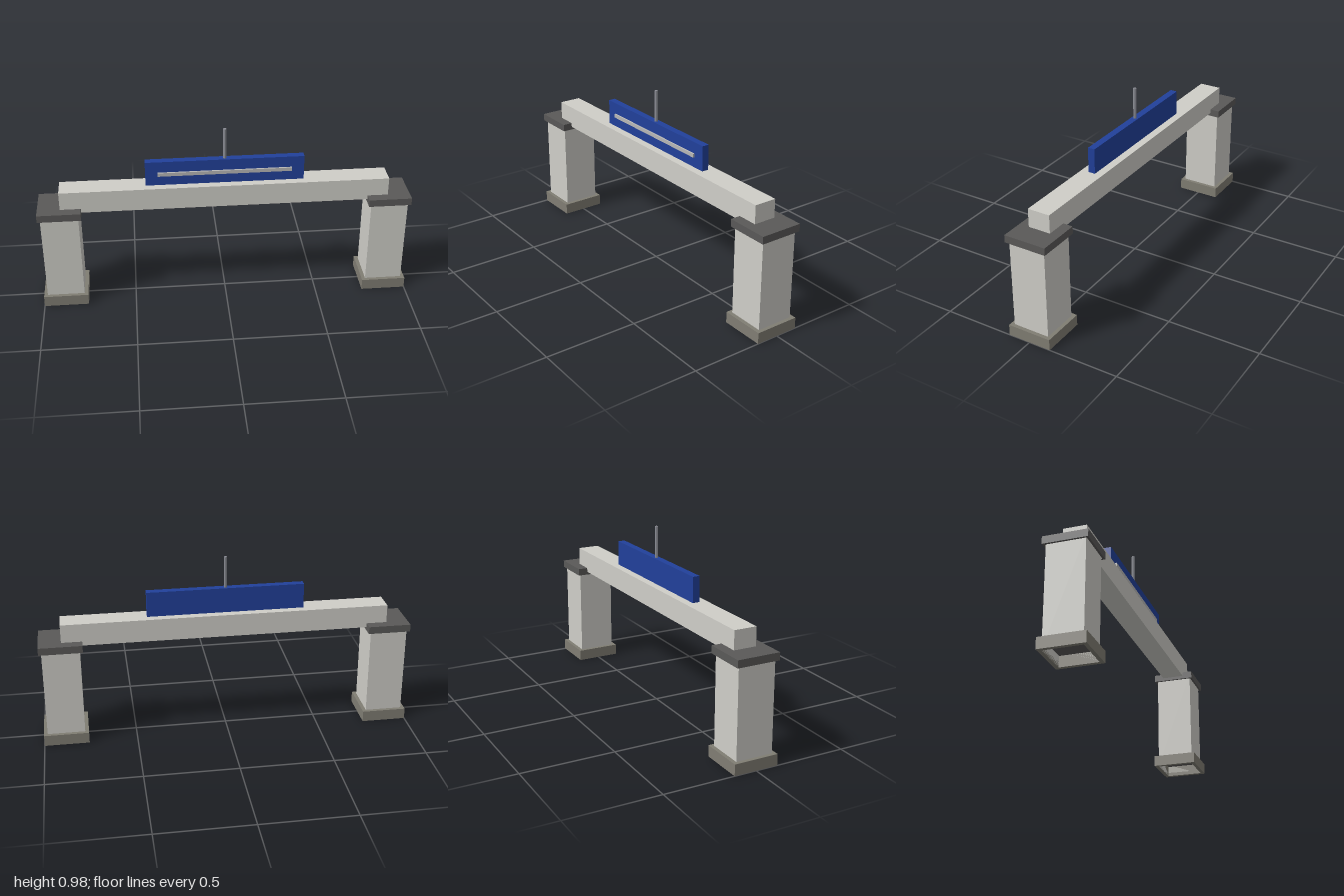
import * as THREE from 'three';

const material = (color) => new THREE.MeshStandardMaterial({ color, flatShading: true, side: THREE.DoubleSide });
const stone = material(0xcfcec8);
const footing = material(0x807d73);
const dark = material(0x5a5958);
const blue = material(0x21409a);
const steel = material(0x8a8c94);
const silver = material(0xb8b8b8);

function add(parent, name, geometry, mat, x, y, z) {
  const mesh = new THREE.Mesh(geometry, mat);
  mesh.name = name;
  mesh.position.set(x, y, z);
  parent.add(mesh);
  return mesh;
}

// Box placed by its bottom height
function box(parent, name, mat, w, h, d, y, z = 0) {
  return add(parent, name, new THREE.BoxGeometry(w, h, d), mat, 0, y + h / 2, z);
}

function square(Type, half) {
  return new Type([[-half, -half], [half, -half], [half, half], [-half, half]].map(([x, y]) => new THREE.Vector2(x, y)));
}

// Square collar with a square hole, rising from y = 0
function collar(outer, inner, height) {
  const shape = square(THREE.Shape, outer);
  shape.holes.push(square(THREE.Path, inner));
  return new THREE.ExtrudeGeometry(shape, { depth: height, bevelEnabled: false }).rotateX(-Math.PI / 2);
}

function createPier(side) {
  const pier = new THREE.Group();
  pier.name = side > 0 ? 'leftPier' : 'rightPier';
  pier.position.x = side * 0.88;

  // Hollow shaft standing inside a footing collar, closed just above the ground
  add(pier, 'footing', collar(0.12, 0.1, 0.06), footing, 0, 0, 0);
  const shaft = new THREE.CylinderGeometry(0.1 * Math.SQRT2, 0.1 * Math.SQRT2, 0.56, 4, 1, true).rotateY(Math.PI / 4);
  add(pier, 'shaft', shaft, stone, 0, 0.28, 0);
  box(pier, 'shaftFloor', dark, 0.198, 0.005, 0.198, 0.057);

  // Cap: a lid with a shallow rim hanging around the shaft
  add(pier, 'capRim', collar(0.115, 0.104, 0.025), dark, 0, 0.535, 0);
  box(pier, 'capLid', dark, 0.23, 0.015, 0.23, 0.56);
  return pier;
}

export function createModel() {
  const model = new THREE.Group();
  model.name = 'gateway';
  for (const side of [-1, 1]) model.add(createPier(side));

  // Crossbeam resting in the two caps
  box(model, 'crossbeam', stone, 1.75, 0.122, 0.122, 0.552);

  // Sign board with a raised strip on the front
  box(model, 'signBoard', blue, 0.84, 0.136, 0.038, 0.674);
  box(model, 'signStrip', silver, 0.71, 0.02, 0.012, 0.729, 0.022);

  // Thin mast above the board
  add(model, 'mast', new THREE.CylinderGeometry(0.009, 0.009, 0.18, 8), steel, 0, 0.89, 0);
  return model;
}
